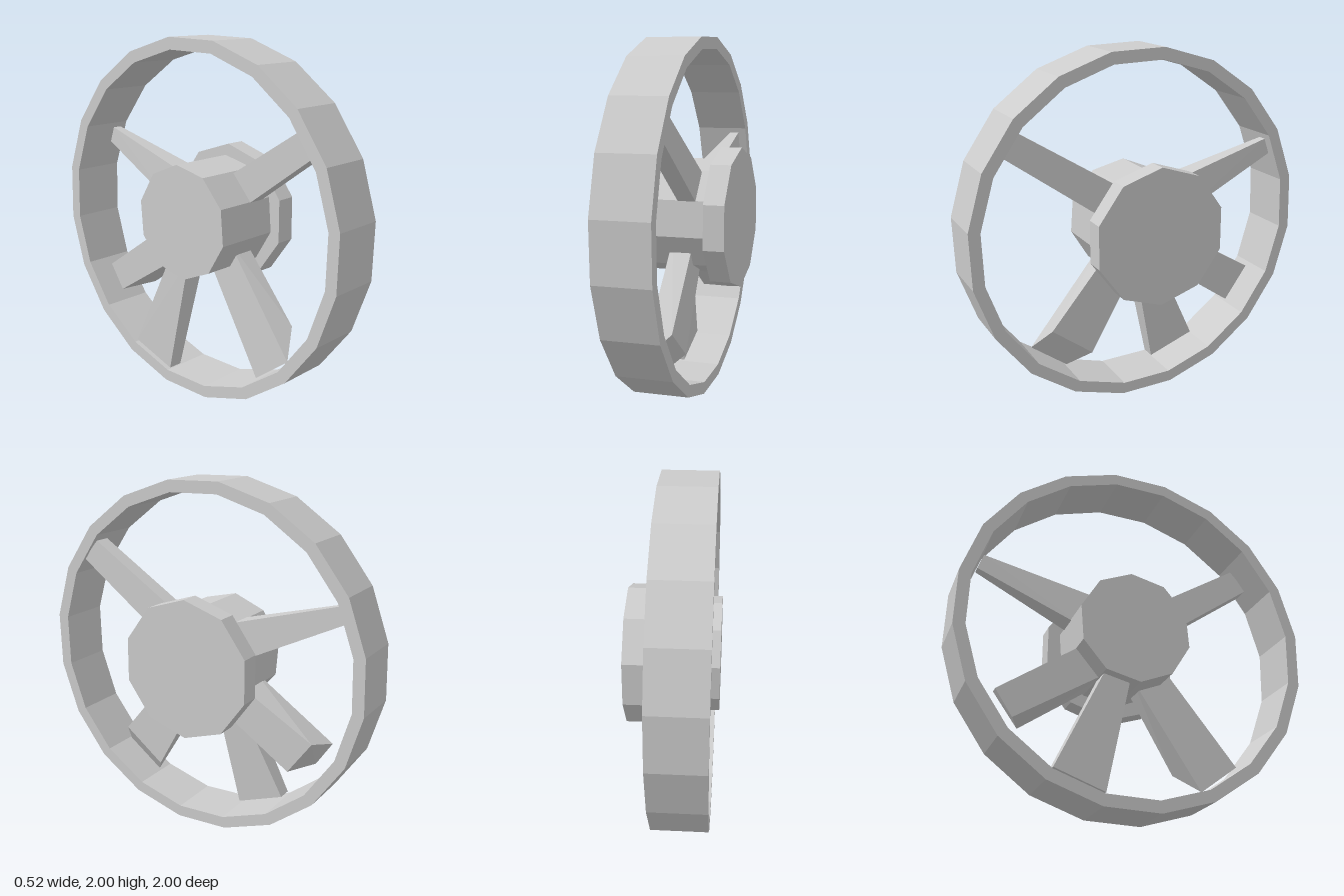
import * as THREE from 'three';
import { ConvexGeometry } from 'three/addons/geometries/ConvexGeometry.js';

const material = new THREE.MeshStandardMaterial({ color: 0xcccccc, flatShading: true });

// Corners of a regular polygon; the angle of the first corner is in degrees
function polygon(radius, sides, startDeg) {
  return Array.from({ length: sides }, (_, i) => {
    const a = THREE.MathUtils.degToRad(startDeg + (360 / sides) * i);
    return new THREE.Vector2(radius * Math.cos(a), radius * Math.sin(a));
  });
}

// Prism (or ring) whose axis runs along x from x0 to x1
function prism(name, { radius, inner, sides, start, y, z, x0, x1 }) {
  const shape = new THREE.Shape(polygon(radius, sides, start));
  if (inner) shape.holes.push(new THREE.Path(polygon(inner, sides, start)));
  const geometry = new THREE.ExtrudeGeometry(shape, { depth: x1 - x0, bevelEnabled: false });
  geometry.rotateY(Math.PI / 2);
  geometry.translate(x0, y, z);
  const mesh = new THREE.Mesh(geometry, material);
  mesh.name = name;
  return mesh;
}

// Tapered spoke: [z, y] edge pairs at the hub and at the tip, x ranges at both.
// An optional second tip pair slants the end towards -x.
function spoke(name, { hub, tip, farTip = tip, hubX, tipX }) {
  const points = [];
  for (let i = 0; i < 2; i++) {
    const [hz, hy] = hub[i], [tz, ty] = tip[i], [fz, fy] = farTip[i];
    const t = 0.16 / Math.hypot(tz - hz, ty - hy); // root sunk into the hub
    const z = hz - (tz - hz) * t, y = hy - (ty - hy) * t;
    points.push(
      new THREE.Vector3(hubX[0], y, z), new THREE.Vector3(hubX[1], y, z),
      new THREE.Vector3(tipX[0], fy, fz), new THREE.Vector3(tipX[1], ty, tz));
  }
  const mesh = new THREE.Mesh(new ConvexGeometry(points), material);
  mesh.name = name;
  return mesh;
}

export function createModel() {
  const group = new THREE.Group();
  group.name = 'spokedWheel';

  // Rim, hub and the wider hub cap
  group.add(
    prism('rim', { radius: 1.008, inner: 0.941, sides: 20, start: 82.6, y: 1, z: 0, x0: -0.225, x1: 0.085 }),
    prism('hub', { radius: 0.322, sides: 10, start: 13.5, y: 1.005, z: -0.02, x0: -0.26, x1: 0.14 }),
    prism('hubCap', { radius: 0.395, sides: 10, start: 90, y: 0.998, z: -0.025, x0: 0.14, x1: 0.256 }));

  // Five uneven spokes
  group.add(
    spoke('upperFrontSpoke', {
      hub: [[0.21, 1.305], [0.326, 1.16]], tip: [[0.7, 1.61], [0.797, 1.497]],
      hubX: [-0.02, 0.08], tipX: [-0.03, 0.065] }),
    spoke('upperBackSpoke', {
      hub: [[-0.29, 1.27], [-0.4, 1.107]], tip: [[-0.83, 1.422], [-0.862, 1.332]],
      hubX: [-0.085, 0.06], tipX: [-0.015, 0.038] }),
    spoke('brokenBackSpoke', {
      hub: [[-0.38, 0.85], [-0.257, 0.68]], tip: [[-0.711, 0.652], [-0.572, 0.46]],
      farTip: [[-0.743, 0.588], [-0.647, 0.444]],
      hubX: [-0.13, 0.09], tipX: [-0.14, 0.07] }),
    spoke('bottomSpoke', {
      hub: [[-0.053, 0.615], [-0.214, 0.663]], tip: [[-0.166, 0.086], [-0.444, 0.187]],
      hubX: [-0.2, -0.07], tipX: [-0.21, -0.125] }),
    spoke('lowerFrontSpoke', {
      hub: [[0.283, 0.775], [0.096, 0.647]], tip: [[0.54, 0.465], [0.3, 0.283]],
      farTip: [[0.62, 0.325], [0.406, 0.166]],
      hubX: [-0.08, 0.04], tipX: [-0.11, 0.03] }));

  return group;
}
